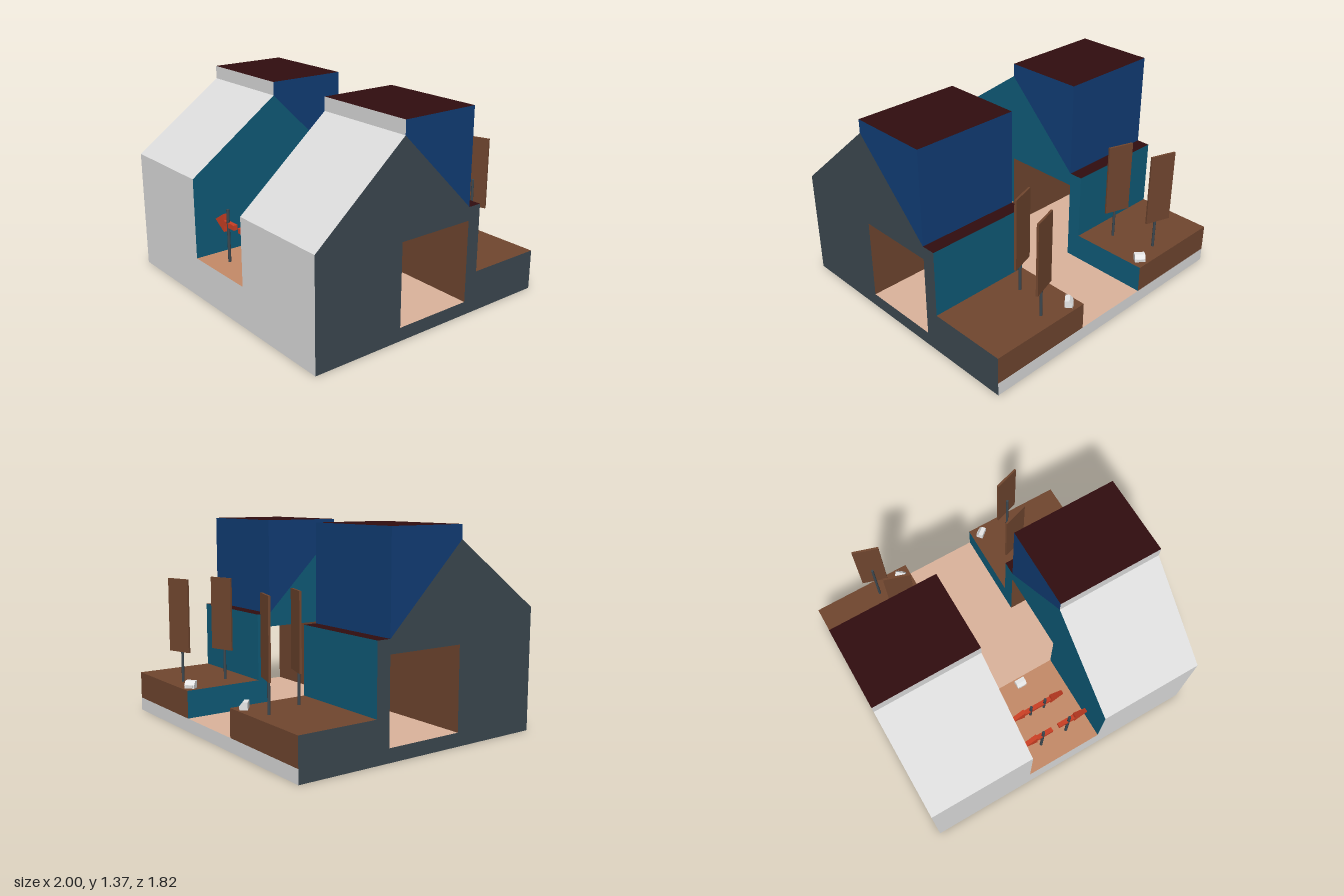
import * as THREE from 'three';

const mat = (name, color) => Object.assign(new THREE.MeshStandardMaterial({ color }), { name });

export function createModel() {
  const M = {
    grey: mat('pale grey', 0xdcdcdc), slate: mat('slate', 0x3c4850),
    blue: mat('deep blue', 0x113d76), teal: mat('teal', 0x0f5b78),
    brown: mat('brown', 0x70462f), tan: mat('tan', 0xdcb49c),
    orange: mat('clay orange', 0xc58b68), maroon: mat('dark maroon', 0x310d0f),
    red: mat('red', 0xca3f24), white: mat('white', 0xf2f2f2),
  };
  const model = new THREE.Group();
  model.name = 'twinHouse';

  const add = (parent, name, geometry, material, x = 0, y = 0, z = 0) => {
    const mesh = new THREE.Mesh(geometry, material);
    mesh.name = name;
    mesh.position.set(x, y, z);
    parent.add(mesh);
    return mesh;
  };
  const group = (name, parent = model) => {
    const g = new THREE.Group();
    g.name = name;
    parent.add(g);
    return g;
  };

  // Faces across x that follow a [z, y] outline; each step has a name and colour
  const walk = (parent, x0, x1, start, steps) => {
    let [z, y] = start;
    for (const [name, z2, y2, material] of steps) {
      const g = new THREE.BufferGeometry();
      g.setAttribute('position', new THREE.Float32BufferAttribute(
        [x0, y, z, x1, y, z, x1, y2, z2, x0, y2, z2], 3));
      g.setIndex([0, 1, 2, 0, 2, 3]);
      g.computeVertexNormals();
      add(parent, name, g, material);
      z = z2;
      y = y2;
    }
  };

  // Flat wall in the plane at x, facing +x or -x, from [z, y] outlines
  const wall = (parent, name, x, dir, outline, hole, material) => {
    const pts = list => list.map(([z, y]) => new THREE.Vector2(-dir * z, y));
    const shape = new THREE.Shape(pts(outline));
    if (hole) shape.holes.push(new THREE.Path(pts(hole)));
    add(parent, name, new THREE.ShapeGeometry(shape).rotateY(dir * Math.PI / 2), material, x);
  };

  const D = 0.91, W = 0.275, FLOOR = 0.09, DECK = 0.275, STEP = 0.73;
  const EAVE = 1.275, TOP = 1.365, BACK = -0.37, DOOR = 0.64;

  // The two houses, with different front wall heights
  for (const [side, front] of [[1, STEP], [-1, 0.82]]) {
    const house = group(side > 0 ? 'leftHouse' : 'rightHouse');
    const x0 = side > 0 ? W : -1, x1 = side > 0 ? 1 : -W;
    walk(house, x0, x1, [D, 0], [
      ['frontWall', D, front, M.grey],
      ['slopedRoof', W, EAVE, M.grey],
      ['roofBand', W, TOP, M.grey],
      ['flatRoof', -W, TOP, M.maroon],
      ['upperBackWall', -W, STEP, M.blue],
      ['backLedge', BACK, STEP, M.maroon],
      ['lowerBackWall', BACK, DECK, M.teal],
      ['terrace', -D, DECK, M.brown],
      ['terraceBack', -D, FLOOR, M.brown],
      ['baseBack', -D, 0, M.grey],
      ['underside', D, 0, M.grey],
    ]);
    walk(house, x0, x1, [W, FLOOR], [
      ['passageFloor', -W, FLOOR, M.tan],
      ['passageBackWall', -W, DOOR, M.brown],
      ['passageCeiling', W, DOOR, M.brown],
      ['passageFrontWall', W, FLOOR, M.brown],
    ]);
    const body = [[D, 0], [D, front], [W, EAVE], [-W, STEP], [BACK, STEP],
      [BACK, DECK], [-D, DECK], [-D, 0]];
    const opening = [[W, FLOOR], [-W, FLOOR], [-W, DOOR], [W, DOOR]];
    const upper = [[W, EAVE], [W, TOP], [-W, TOP], [-W, STEP]];
    wall(house, 'outerWall', side, side, body, opening, M.slate);
    wall(house, 'upperOuterWall', side, side, upper, null, M.blue);
    wall(house, 'innerWall', side * W, -side, body, opening, M.teal);
    wall(house, 'upperInnerWall', side * W, -side, upper, null, M.blue);

    // Hanging lamp in the passage
    const lamp = group('pendantLamp', house);
    lamp.position.set(side * 0.64, 0, 0);
    add(lamp, 'lampCord', new THREE.CylinderGeometry(0.004, 0.004, 0.03, 8), M.slate, 0, 0.625);
    add(lamp, 'lampShade', new THREE.CylinderGeometry(0.006, 0.02, 0.025, 16), M.maroon, 0, 0.605);
    add(lamp, 'lampBulb', new THREE.SphereGeometry(0.011, 12, 8), M.white, 0, 0.588);
  }

  // Court between the houses
  walk(group('court'), -W, W, [D, 0], [
    ['courtFront', D, DECK, M.grey],
    ['frontDeck', W, DECK, M.orange],
    ['deckStep', W, FLOOR, M.brown],
    ['courtFloor', -D, FLOOR, M.tan],
    ['courtBack', -D, 0, M.grey],
    ['courtUnderside', D, 0, M.grey],
  ]);

  const pole = (parent, x, z, top, r) =>
    add(parent, 'pole', new THREE.CylinderGeometry(r, r, top - DECK, 12), M.slate, x, (top + DECK) / 2, z);

  // Arrow signs pointing outwards; the tip lies at x = 0.22 from the tail
  const arrow = new THREE.ExtrudeGeometry(new THREE.Shape([
    [0, -0.017], [0.12, -0.017], [0.12, -0.062], [0.22, 0], [0.12, 0.062], [0.12, 0.017], [0, 0.017],
  ].map(p => new THREE.Vector2(...p))), { depth: 0.03, bevelEnabled: false }).translate(0, 0, -0.015);
  for (const [z, y, tail, poleX, top] of [[0.76, 0.53, 0.025, 0.1, 0.635], [0.54, 0.37, -0.015, 0.055, 0.465]]) {
    for (const side of [1, -1]) {
      const sign = group('arrowSign');
      pole(sign, side * poleX, z + 0.007, top, 0.01);
      const plate = add(sign, 'arrow', arrow, M.red, side * tail, y, z);
      if (side < 0) plate.rotation.y = Math.PI;
    }
  }

  // Terrace boards on poles
  for (const side of [1, -1]) {
    for (const [x, z] of [[0.545, -0.822], [0.453, -0.548]]) {
      const sign = group('terraceBoard');
      const board = add(sign, 'board', new THREE.BoxGeometry(0.18, 0.495, 0.014), M.brown, side * x, 0.732, z);
      board.rotation.y = side * 0.31;
      pole(sign, side * x, z + 0.018, 0.68, 0.009);
    }
  }

  // Small floodlights with a sloped lens side
  const lampBody = new THREE.ExtrudeGeometry(new THREE.Shape([
    [-0.025, 0], [0.025, 0], [0.025, 0.022], [0.005, 0.048], [-0.025, 0.048],
  ].map(p => new THREE.Vector2(...p))), { depth: 0.07, bevelEnabled: false })
    .translate(0, 0, -0.035).rotateY(Math.PI / 2);
  for (const [x, z, turn] of [[0, 0.32, Math.PI], [0.345, -0.85, 0.68], [-0.345, -0.85, -0.68]]) {
    const light = group('floodlight');
    light.position.set(x, DECK, z);
    light.rotation.y = turn;
    add(light, 'lightBody', lampBody, M.white);
    add(light, 'lightPanel', new THREE.BoxGeometry(0.045, 0.018, 0.004), M.grey, 0, 0.012, -0.026);
  }
  return model;
}
